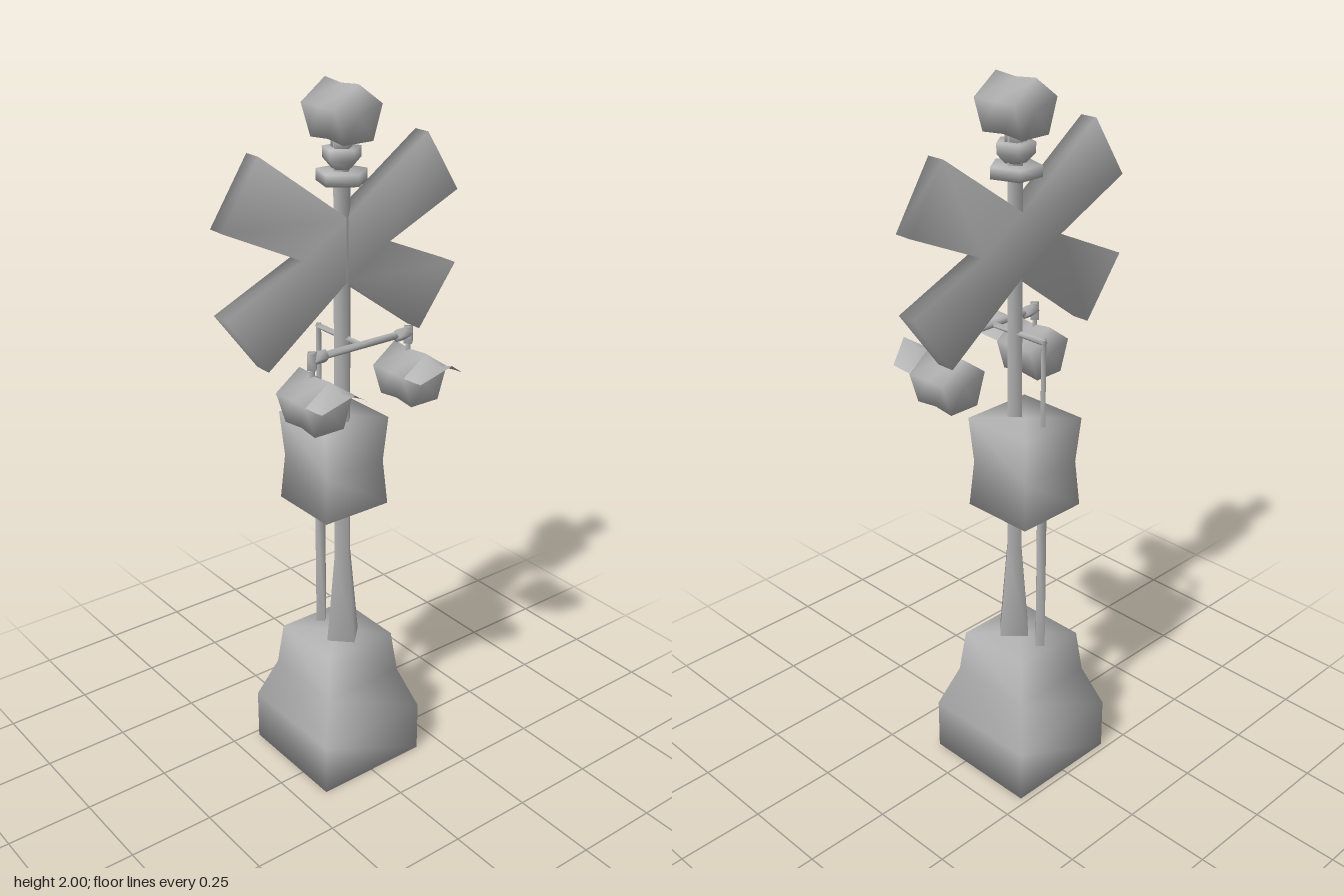
import * as THREE from 'three';
import { mergeVertices } from 'three/addons/utils/BufferGeometryUtils.js';

const grey = new THREE.MeshStandardMaterial({ color: 0xb4b4b4, side: THREE.DoubleSide });
grey.name = 'plain grey';

// Weld all corners so the low-poly surfaces shade smoothly
function soften(geometry) {
  geometry.deleteAttribute('normal');
  geometry.deleteAttribute('uv');
  const welded = mergeVertices(geometry, 1e-5);
  welded.computeVertexNormals();
  return welded;
}

// Closed turned prism around y; profile is [radius, y] from bottom to top
function prism(profile, sides, turn = 0) {
  const first = profile[0], last = profile[profile.length - 1];
  const points = [[0, first[1]], ...profile, [0, last[1]]].map(([r, y]) => new THREE.Vector2(r, y));
  return soften(new THREE.LatheGeometry(points, sides, turn));
}

// Square prism aligned to the axes; profile is [half width, y]
const squarePrism = (profile) =>
  prism(profile.map(([h, y]) => [h * Math.SQRT2, y]), 4, Math.PI / 4);

function add(parent, name, geometry, x = 0, y = 0, z = 0) {
  const mesh = new THREE.Mesh(geometry, grey);
  mesh.name = name;
  mesh.position.set(x, y, z);
  parent.add(mesh);
  return mesh;
}

// Four-sided rod between two points
function rod(parent, name, from, to, radius) {
  const a = new THREE.Vector3(...from), b = new THREE.Vector3(...to);
  const direction = b.clone().sub(a);
  const length = direction.length();
  const mesh = add(parent, name, prism([[radius, 0], [radius, length]], 4), ...from);
  mesh.quaternion.setFromUnitVectors(new THREE.Vector3(0, 1, 0), direction.normalize());
}

// Five-sided drum lying along z, point upward, slightly waisted
const drum = (radius, halfLength) =>
  prism([[radius, -halfLength], [radius * 0.92, 0], [radius, halfLength]], 5).rotateX(-Math.PI / 2);

// Two-slope hood with a pointed front
function hood() {
  const rows = [
    [0.075, -0.028, 0, 0.024, 0],
    [0.073, -0.028, 0.04, 0.006, 0.05],
    [0.072, -0.026, 0.066, 0.022, 0.105],
  ];
  const positions = [], index = [];
  rows.forEach(([w, sideY, sideZ, ridgeY, ridgeZ], i) => {
    positions.push(-w, sideY, sideZ, 0, ridgeY, ridgeZ, w, sideY, sideZ);
    if (i === 0) return;
    for (let j = 0; j < 2; j++) {
      const a = (i - 1) * 3 + j, b = a + 3;
      index.push(a, b, a + 1, b, b + 1, a + 1);
    }
  });
  const geometry = new THREE.BufferGeometry();
  geometry.setAttribute('position', new THREE.Float32BufferAttribute(positions, 3));
  geometry.setIndex(index);
  geometry.computeVertexNormals();
  return geometry;
}

export function createModel() {
  const model = new THREE.Group();
  model.name = 'railwayCrossingSignal';
  const cx = 0.003, poleZ = -0.028, conduitZ = -0.135, barY = 1.335, barZ = 0.052;

  // Stepped foundation
  add(model, 'base', squarePrism([[0.173, 0], [0.173, 0.155], [0.127, 0.28], [0.113, 0.405]]), cx, 0, -0.058);

  // Tapered mast
  add(model, 'mast', prism([[0.057, 0.4], [0.028, 0.68], [0.027, 1.87]], 4), cx - 0.002, 0, poleZ);

  // Waisted relay box
  add(model, 'controlBox', squarePrism([[0.107, 0.835], [0.097, 0.967], [0.107, 1.098]]), 0, 0, -0.066);

  // Cable conduit behind the mast, then forward to the lamp bar
  rod(model, 'lowerConduit', [cx, 0.4, conduitZ], [cx, 0.84, conduitZ], 0.018);
  rod(model, 'upperConduit', [cx, 1.09, conduitZ], [cx, 1.342, conduitZ], 0.009);
  rod(model, 'conduitArm', [cx, barY, conduitZ - 0.005], [cx, barY, barZ], 0.009);

  // Crossed boards, one outline
  const outline = [
    [-0.265, 1.855], [0, 1.662], [0.265, 1.845], [0.373, 1.678], [0.14, 1.575], [0.373, 1.475],
    [0.249, 1.31], [0, 1.492], [-0.252, 1.303], [-0.376, 1.468], [-0.14, 1.575], [-0.376, 1.687],
  ].map(([x, y]) => new THREE.Vector2(x, y));
  const boards = new THREE.ExtrudeGeometry(new THREE.Shape(outline), { depth: 0.052, bevelEnabled: false });
  add(model, 'crossedBoards', soften(boards), 0, 0, -0.056);

  // Collars under the bell
  add(model, 'collarDisc', prism([[0.0695, 1.75], [0.0695, 1.78]], 5), cx - 0.002, 0, poleZ);
  add(model, 'collarCup', prism([[0.028, 1.785], [0.052, 1.81], [0.052, 1.838]], 5), cx - 0.002, 0, poleZ);
  add(model, 'bellNeck', prism([[0.029, 1.835], [0.029, 1.872]], 5), cx - 0.002, 0, poleZ);

  // Bell
  add(model, 'bell', drum(0.079, 0.068), cx, 1.921, -0.031);

  // Lamp bar with an elbow, lamp and hood at each end
  rod(model, 'lampBar', [-0.157, barY, barZ], [0.163, barY, barZ], 0.011);
  for (const side of [-1, 1]) {
    const lamp = new THREE.Group();
    lamp.name = side > 0 ? 'leftLamp' : 'rightLamp';
    lamp.position.x = cx + side * 0.16;
    rod(lamp, 'elbowSleeve', [0, barY - 0.001, barZ], [-side * 0.043, barY - 0.001, barZ], 0.018);
    rod(lamp, 'elbowDrop', [0, 1.351, barZ], [0, 1.306, barZ], 0.016);
    rod(lamp, 'lampStem', [0, 1.31, barZ], [0, 1.27, barZ], 0.009);
    add(lamp, 'lampHousing', drum(0.079, 0.064), 0, 1.217, 0.06);
    add(lamp, 'lampHood', hood(), 0, 1.271, 0.124);
    model.add(lamp);
  }
  return model;
}
